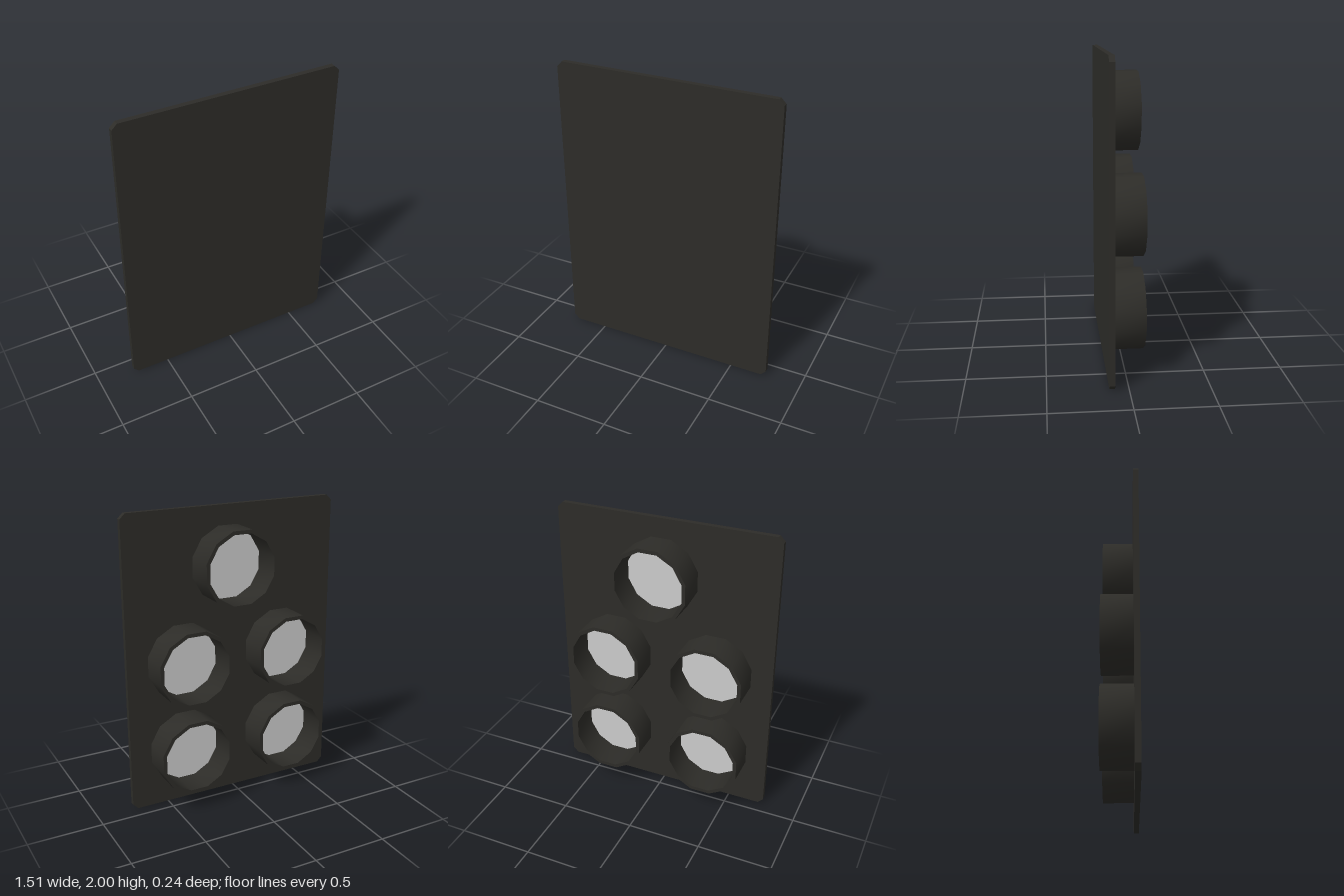
import * as THREE from 'three';
import { toCreasedNormals } from 'three/addons/utils/BufferGeometryUtils.js';

const SIDES = 12;
const BACK = -0.12, PLATE_BACK = 0.085, FRONT = 0.12;

// Points of a regular polygon with flats facing the axes
function ring(radius) {
  return Array.from({ length: SIDES }, (_, i) => {
    const a = ((i + 0.5) / SIDES) * Math.PI * 2;
    return new THREE.Vector2(radius * Math.cos(a), radius * Math.sin(a));
  });
}

export function createModel() {
  const group = new THREE.Group();
  const dark = new THREE.MeshStandardMaterial({ color: 0x2d2c28 });
  const grey = new THREE.MeshStandardMaterial({ color: 0xcccccc });

  const add = (name, geometry, material, x, y, z, parent = group) => {
    const mesh = new THREE.Mesh(geometry, material);
    mesh.name = name;
    mesh.position.set(x, y, z);
    parent.add(mesh);
    return mesh;
  };

  // Flat plate with clipped corners
  const w = 0.755, h = 1, c = 0.035;
  const outline = new THREE.Shape([
    [-w + c, -h], [w - c, -h], [w, -h + c], [w, h - c],
    [w - c, h], [-w + c, h], [-w, h - c], [-w, -h + c],
  ].map(([x, y]) => new THREE.Vector2(x, y)));
  add('plate', new THREE.ExtrudeGeometry(outline, { depth: FRONT - PLATE_BACK, bevelEnabled: false }),
    dark, 0, h, PLATE_BACK);

  // Round open cups on the back, each with a pale disc at the bottom
  const wall = new THREE.Shape(ring(0.261));
  wall.holes.push(new THREE.Path(ring(0.236)));
  const wallGeometry = toCreasedNormals(
    new THREE.ExtrudeGeometry(wall, { depth: PLATE_BACK - BACK, bevelEnabled: false }), 0.6);
  const discGeometry = new THREE.ShapeGeometry(new THREE.Shape(ring(0.238)));
  discGeometry.rotateY(Math.PI);

  const cups = [[0.03, 1.615], [-0.357, 1.0], [0.357, 1.0], [-0.357, 0.385], [0.357, 0.385]];
  cups.forEach(([x, y], i) => {
    const cup = new THREE.Group();
    cup.name = `cup${i + 1}`;
    cup.position.set(x, y, 0);
    group.add(cup);
    add('cupWall', wallGeometry, dark, 0, 0, BACK, cup);
    add('cupDisc', discGeometry, grey, 0, 0, PLATE_BACK - 0.003, cup);
  });

  return group;
}
